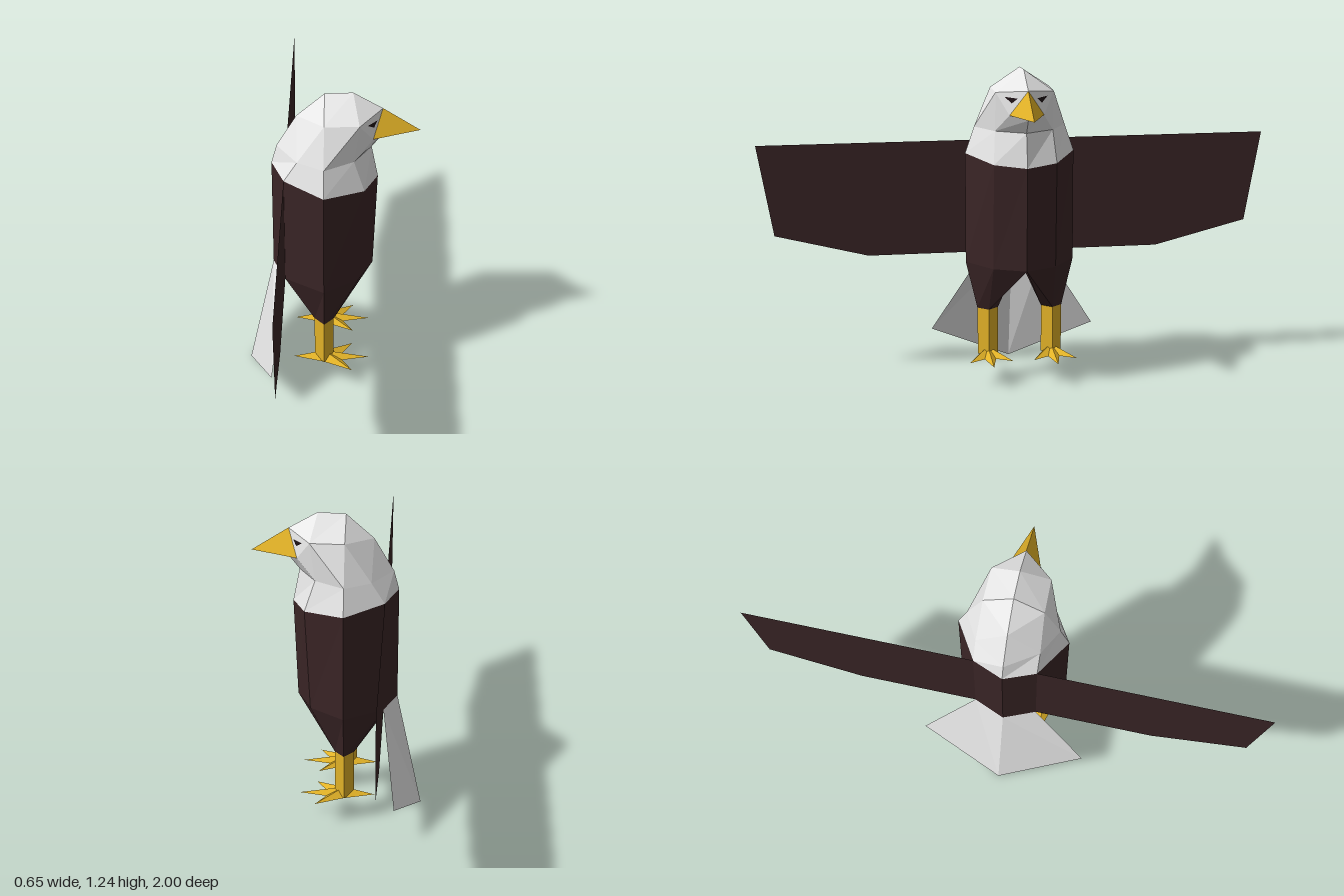
import * as THREE from 'three';

const V = (x, y, z) => new THREE.Vector3(x, y, z);

// Mesh from polygons given for the +z side, mirrored to -z
function mirrored(name, material, faces) {
  const pos = [];
  const add = (poly) => {
    for (let i = 1; i < poly.length - 1; i++) {
      for (const p of [poly[0], poly[i], poly[i + 1]]) pos.push(p.x, p.y, p.z);
    }
  };
  for (const f of faces) {
    const poly = f.filter((p, i) => f.indexOf(p) === i);
    add(poly);
    add(poly.map((p) => V(p.x, p.y, -p.z)).reverse());
  }
  const g = new THREE.BufferGeometry();
  g.setAttribute('position', new THREE.Float32BufferAttribute(pos, 3));
  g.computeVertexNormals();
  const mesh = new THREE.Mesh(g, material);
  mesh.name = name;
  return mesh;
}

// Quads between two open rows of points
const loft = (lo, up) => lo.slice(1).map((p, i) => [lo[i], p, up[i + 1], up[i]]);

export function createModel() {
  const mat = (name, color, side = THREE.FrontSide) =>
    Object.assign(new THREE.MeshStandardMaterial({ color, side, flatShading: true }), { name });
  const brown = mat('darkBrown', 0x3a2526, THREE.DoubleSide);
  const white = mat('white', 0xf0f0f0, THREE.DoubleSide);
  const gold = mat('gold', 0xe2b227);
  const dark = mat('eyeDark', 0x1c1014, THREE.DoubleSide);

  const bird = new THREE.Group();
  bird.name = 'bird';

  // Half rings of the octagonal body, from back to front
  const hip = [V(-0.23, 0.48, 0), V(-0.18, 0.48, 0.12), V(-0.03, 0.48, 0.21), V(0.1, 0.48, 0.12), V(0.155, 0.48, 0)];
  const shoulder = [V(-0.23, 0.935, 0), V(-0.18, 0.928, 0.12), V(-0.03, 0.908, 0.21), V(0.12, 0.888, 0.12), V(0.17, 0.88, 0)];
  const neck = [V(-0.21, 1.01, 0), V(-0.13, 1.01, 0.12), V(-0.03, 1.01, 0.175), V(0.08, 1.01, 0.11), V(0.145, 1.01, 0)];
  bird.add(mirrored('body', brown, loft(hip, shoulder)));

  // Thighs taper from each half of the body to a diamond leg
  const back = V(-0.068, 0.293, 0.125), front = V(0.006, 0.293, 0.125);
  const outer = V(-0.03, 0.293, 0.166), inner = V(-0.03, 0.293, 0.085);
  const crotch = V(-0.03, 0.48, 0);
  bird.add(mirrored('thighs', brown, [
    ...loft([back, back, outer, front, front], hip),
    ...loft([front, inner, back], [hip[4], crotch, hip[0]]),
    [back, inner, front, outer],
  ]));

  // Wings
  bird.add(mirrored('wings', brown, [[
    V(-0.18, 0.48, 0.12), V(-0.18, 0.48, 0.575), V(-0.18, 0.572, 0.938), V(-0.18, 0.93, 1), V(-0.18, 0.93, 0.12),
  ]]));

  // Tail
  bird.add(mirrored('tail', white, [[
    hip[0], V(-0.33, 0, 0), V(-0.23, 0.155, 0.325), hip[1],
  ]]));

  // Head
  const nape = V(-0.135, 1.14, 0), crownBack = V(-0.03, 1.235, 0), crownFront = V(0.075, 1.24, 0);
  const temple = V(-0.03, 1.16, 0.113), brow = V(0.1, 1.16, 0.11);
  const beakTop = V(0.185, 1.175, 0), beakSide = V(0.15, 1.08, 0.065);
  const chin = V(0.187, 1.065, 0), beakTip = V(0.325, 1.083, 0);
  bird.add(mirrored('head', white, [
    ...loft(shoulder, neck),
    [neck[0], neck[1], nape],
    [neck[1], temple, nape],
    [neck[1], neck[2], temple],
    [neck[2], brow, temple],
    [neck[2], neck[3], brow],
    [nape, temple, crownBack],
    [temple, brow, crownFront, crownBack],
    [brow, beakTop, crownFront],
    [brow, beakSide, beakTop],
    [neck[3], beakSide, brow],
    [neck[3], neck[4], chin, beakSide],
  ]));

  // Beak
  bird.add(mirrored('beak', gold, [
    [beakSide, beakTip, beakTop],
    [beakSide, chin, beakTip],
  ]));

  // Eyes lie just off the face plane
  const faceNormal = new THREE.Triangle(brow, beakSide, beakTop).getNormal(V(0, 0, 0));
  const onFace = (t, b) => brow.clone()
    .addScaledVector(beakTop.clone().sub(brow), t)
    .addScaledVector(beakSide.clone().sub(brow), b)
    .addScaledVector(faceNormal, 0.003);
  bird.add(mirrored('eyes', dark, [[onFace(0.2, 0.2), onFace(0.3, 0.49), onFace(0.56, 0.3)]]));

  // Legs
  for (const side of [1, -1]) {
    const leg = new THREE.Mesh(new THREE.CylinderGeometry(0.04, 0.04, 0.188, 4, 1), gold);
    leg.name = side > 0 ? 'rightLeg' : 'leftLeg';
    leg.scale.x = 0.93;
    leg.position.set(-0.031, 0.2, side * 0.125);
    bird.add(leg);
  }

  // Feet: low four-toed stars
  const star = [[0.145, 0], [0.04, -0.022], [0.08, -0.085], [-0.03, -0.035], [-0.15, 0], [-0.03, 0.035], [0.08, 0.085], [0.04, 0.022]]
    .map(([x, z]) => V(x, 0.103, 0.125 + z));
  const apex = V(-0.03, 0.133, 0.125), sole = V(-0.03, 0.103, 0.125);
  bird.add(mirrored('feet', gold, star.flatMap((p, i) => {
    const q = star[(i + 1) % star.length];
    return [[p, q, apex], [q, p, sole]];
  })));

  return bird;
}
